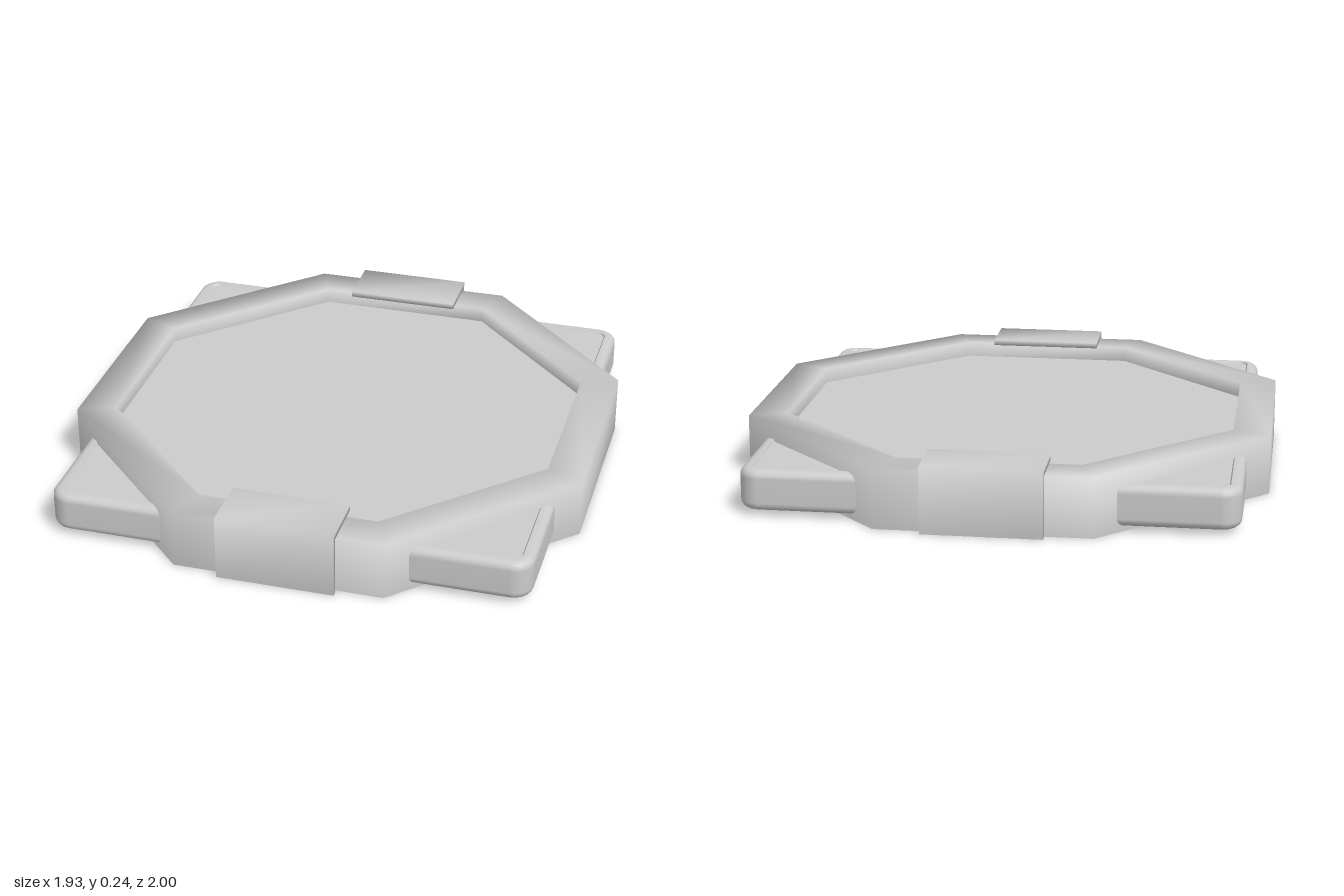
import * as THREE from 'three';
import { mergeVertices } from 'three/addons/utils/BufferGeometryUtils.js';

const material = new THREE.MeshStandardMaterial({ color: 0xcccccc });

// Octagon outline, shrunk evenly by the inset
function octagon(inset) {
  const a = 0.967 - inset, b = 0.385 - inset * 0.414;
  return [[a, -b], [a, b], [b, a], [-b, a], [-a, b], [-a, -b], [-b, -a], [b, -a]];
}

// Rounded rectangle outline, shrunk evenly by the inset
function roundedSquare(inset) {
  const r = Math.max(0.075 - inset, 0.02);
  const cx = 0.885 - inset - r, cz = 0.895 - inset - r;
  const points = [];
  [[1, 1], [-1, 1], [-1, -1], [1, -1]].forEach(([sx, sz], q) => {
    for (let i = 0; i <= 6; i++) {
      const t = (q + i / 6) * Math.PI / 2;
      points.push([sx * cx + r * Math.cos(t), sz * cz + r * Math.sin(t)]);
    }
  });
  return points;
}

// Skin over outlines at [inset, y]; a null inset closes to the centre,
// a repeated entry makes a sharp edge
function loft(name, outline, profile) {
  const positions = [], index = [];
  const n = outline(0).length;
  for (const [inset, y] of profile) {
    for (const [x, z] of outline(inset ?? 0)) {
      positions.push(inset === null ? 0 : x, y, inset === null ? 0 : z);
    }
  }
  for (let k = 0; k < profile.length - 1; k++) {
    const [p, q] = [profile[k], profile[k + 1]];
    if (p[0] === q[0] && p[1] === q[1]) continue;
    for (let i = 0; i < n; i++) {
      const j = (i + 1) % n;
      const a = k * n + i, b = k * n + j, c = a + n, d = b + n;
      if (q[0] !== null) index.push(c, d, b);
      if (p[0] !== null) index.push(a, c, b);
    }
  }
  const geometry = new THREE.BufferGeometry();
  geometry.setAttribute('position', new THREE.Float32BufferAttribute(positions, 3));
  geometry.setIndex(index);
  geometry.computeVertexNormals();
  const mesh = new THREE.Mesh(geometry, material);
  mesh.name = name;
  return mesh;
}

// L-shaped clip: a lip over the rim and a strip down its outside
function clip(name, turn) {
  const section = new THREE.Shape([
    [0.79, 0.222], [0.98, 0.222], [0.98, 0], [1, 0], [1, 0.244], [0.79, 0.244],
  ].map(([z, y]) => new THREE.Vector2(z, y)));
  let geometry = new THREE.ExtrudeGeometry(section, { depth: 0.43, bevelEnabled: false });
  geometry.translate(0, 0, -0.215).rotateY(-Math.PI / 2);
  geometry.deleteAttribute('normal');
  geometry.deleteAttribute('uv');
  geometry = mergeVertices(geometry);
  geometry.computeVertexNormals();
  const mesh = new THREE.Mesh(geometry, material);
  mesh.name = name;
  mesh.rotation.y = turn;
  return mesh;
}

export function createModel() {
  const model = new THREE.Group();
  model.name = 'octagonalTray';

  // Octagonal frame with a solid bottom and an open top
  model.add(loft('octagonalFrame', octagon, [
    [null, 0], [0, 0], [0, 0], [0, 0.22], [0.137, 0.22], [0.137, 0.155],
  ]));

  // Square plate with rounded edges and a slightly sunken top panel
  const profile = [[null, 0.02], [0.03, 0.02], [0.03, 0.02]];
  for (let i = 1; i <= 4; i++) {
    const t = i / 4 * Math.PI / 2;
    profile.push([0.03 * (1 - Math.sin(t)), 0.05 - 0.03 * Math.cos(t)]);
  }
  for (let i = 0; i <= 4; i++) {
    const t = i / 4 * Math.PI / 2;
    profile.push([0.03 * (1 - Math.cos(t)), 0.14 + 0.03 * Math.sin(t)]);
  }
  profile.push([0.042, 0.17], [0.042, 0.17], [0.047, 0.162], [0.047, 0.162], [null, 0.162]);
  model.add(loft('squarePlate', roundedSquare, profile));

  // Clips at front and back
  model.add(clip('frontClip', 0), clip('backClip', Math.PI));
  return model;
}
